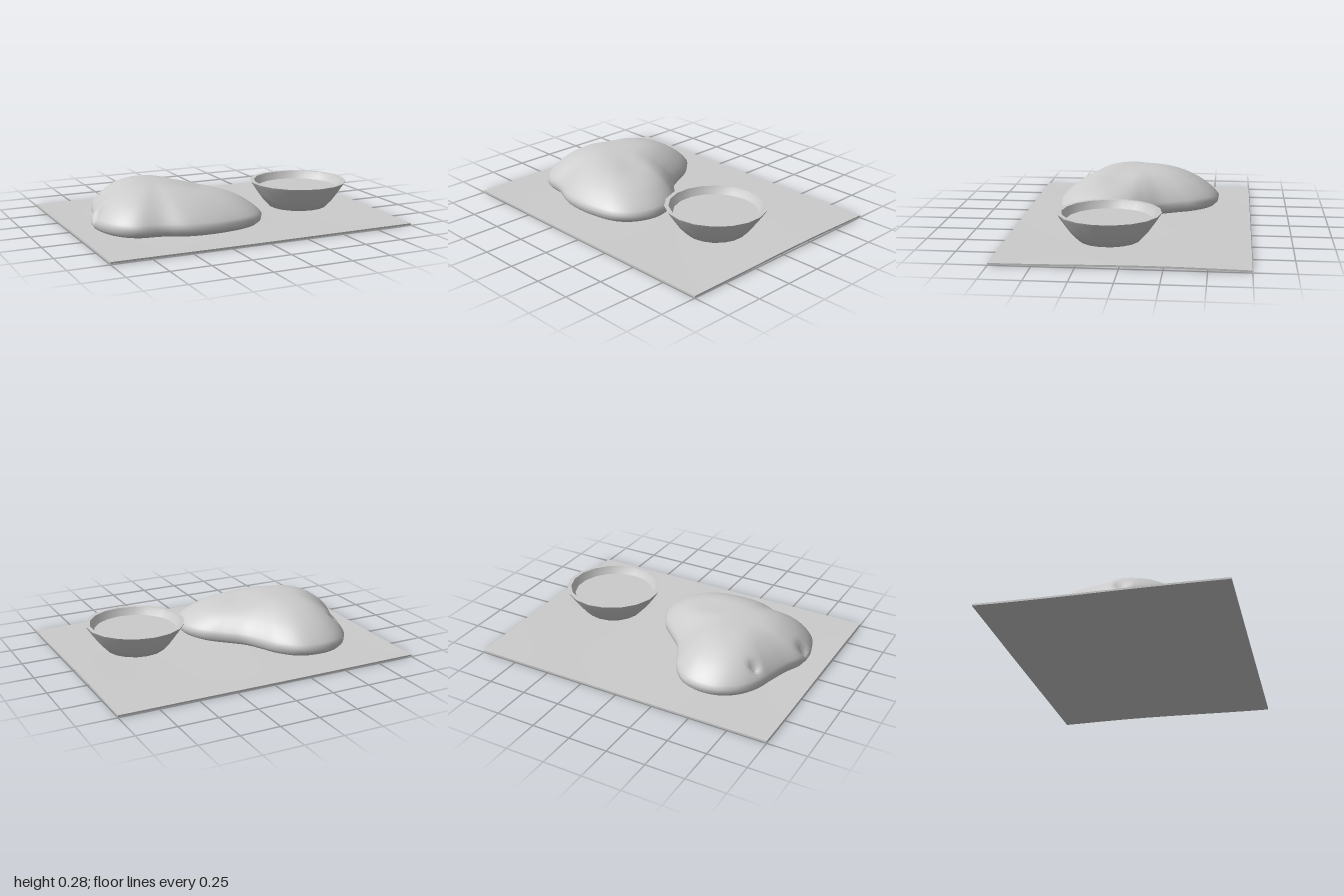
import * as THREE from 'three';

const grey = () => new THREE.MeshStandardMaterial({ color: 0xcccccc });

function add(group, name, geometry, material = grey()) {
  const mesh = new THREE.Mesh(geometry, material);
  mesh.name = name;
  group.add(mesh);
  return mesh;
}

// Thin rectangular mat with gentle ripples
function matGeometry() {
  const geo = new THREE.BoxGeometry(2, 0.011, 1.5, 32, 1, 24);
  const p = geo.attributes.position;
  for (let i = 0; i < p.count; i++) {
    const x = p.getX(i), z = p.getZ(i);
    const wave = 0.005 * Math.sin(x * 5 + 2.4) * Math.cos(z * 2.2) + 0.003 * Math.cos(z * 4 + x);
    p.setY(i, p.getY(i) + 0.0155 + wave);
  }
  geo.computeVertexNormals();
  return geo;
}

// Three-lobed plump body: a closed outline scaled in rings along a rounded profile
const outline = [
  [-0.46, -0.54], [-0.33, -0.51], [-0.22, -0.40], [-0.16, -0.28], [-0.10, -0.17], [0, -0.07],
  [0.10, 0.03], [0.16, 0.15], [0.17, 0.27], [0.12, 0.40], [0.03, 0.48], [-0.12, 0.52],
  [-0.28, 0.53], [-0.42, 0.51], [-0.56, 0.45], [-0.72, 0.42], [-0.82, 0.33], [-0.88, 0.18],
  [-0.88, 0.05], [-0.83, -0.07], [-0.79, -0.20], [-0.75, -0.34], [-0.68, -0.45], [-0.58, -0.52],
];
const profile = [
  [0, 0.29], [0.2, 0.288], [0.38, 0.278], [0.57, 0.25], [0.76, 0.2], [0.9, 0.145],
  [0.98, 0.1], [1, 0.075], [0.97, 0.045], [0.88, 0.026], [0.5, 0.018], [0, 0.018],
];
const bump = (x, z, cx, cz, r) => Math.exp(-((x - cx) ** 2 + (z - cz) ** 2) / (r * r));

function bodyGeometry() {
  const cx = -0.46, cz = 0.02, around = 112, rings = 56;
  const edge = new THREE.CatmullRomCurve3(outline.map(([x, z]) => new THREE.Vector3(x, 0, z)), true)
    .getSpacedPoints(around);
  const section = new THREE.SplineCurve(profile.map(([s, y]) => new THREE.Vector2(s, y))).getSpacedPoints(rings);
  const pos = [], index = [];
  section.forEach(({ x: s, y: h }, r) => {
    for (let i = 0; i < around; i++) {
      const x = cx + (edge[i].x - cx) * s, z = cz + (edge[i].z - cz) * s;
      let y = h;
      if (h > 0.08) {
        // saddle before the lower lobe, then the two small dimples
        y -= 0.032 * bump(x, z, -0.17, 0.12, 0.16) * (1 - s * s);
        y -= 0.045 * bump(x, z, -0.7, -0.29, 0.025);
        y -= 0.05 * bump(x, z, -0.855, 0.1, 0.028);
      }
      pos.push(x, y, z);
      if (r < rings) {
        const a = r * around + i, b = r * around + (i + 1) % around;
        if (r > 0) index.push(a, b, a + around);
        if (r < rings - 1) index.push(b, b + around, a + around);
      }
    }
  });
  // close the crown and base, where the first and last rings shrink to a point
  for (let i = 0; i < around; i++) {
    const j = (i + 1) % around;
    index.push(0, around + j, around + i);
  }
  // reverse the strips so that all faces look outward
  const geo = new THREE.BufferGeometry();
  geo.setAttribute('position', new THREE.Float32BufferAttribute(pos, 3));
  geo.setIndex(orient(index, pos, new THREE.Vector3(cx, 0.1, cz)));
  geo.computeVertexNormals();
  return geo;
}

// Turn every triangle of a star-shaped solid away from its centre
function orient(index, pos, centre) {
  const [a, b, c] = [0, 1, 2].map(() => new THREE.Vector3());
  const tri = new THREE.Triangle(a, b, c), n = new THREE.Vector3();
  for (let i = 0; i < index.length; i += 3) {
    [a, b, c].forEach((v, k) => v.fromArray(pos, index[i + k] * 3));
    tri.getNormal(n);
    if (n.dot(a.sub(centre)) < 0) [index[i + 1], index[i + 2]] = [index[i + 2], index[i + 1]];
  }
  return index;
}

const lathe = (points, sides) =>
  new THREE.LatheGeometry(points.map(([r, y]) => new THREE.Vector2(r, y)), sides);

export function createModel() {
  const model = new THREE.Group();
  add(model, 'mat', matGeometry());
  add(model, 'plumpBody', bodyGeometry());

  // Bowl with separate wall, rim and inside so the edges stay crisp
  const bowl = new THREE.Group();
  bowl.name = 'bowl';
  bowl.position.set(0.54, 0, 0.105);
  const sides = 18;
  add(bowl, 'outerWall', lathe([[0, 0.028], [0.12, 0.03], [0.19, 0.048], [0.235, 0.095], [0.275, 0.15], [0.31, 0.202], [0.317, 0.216]], sides));
  add(bowl, 'rim', lathe([[0.317, 0.216], [0.29, 0.216]], sides));
  add(bowl, 'innerWall', lathe([[0.29, 0.216], [0.278, 0.19], [0.255, 0.155]], sides));
  const filling = add(bowl, 'filling', new THREE.CircleGeometry(0.265, 32));
  filling.rotation.x = -Math.PI / 2;
  filling.position.y = 0.168;
  bowl.children.forEach((m) => { m.material.side = THREE.DoubleSide; });
  model.add(bowl);
  return model;
}
